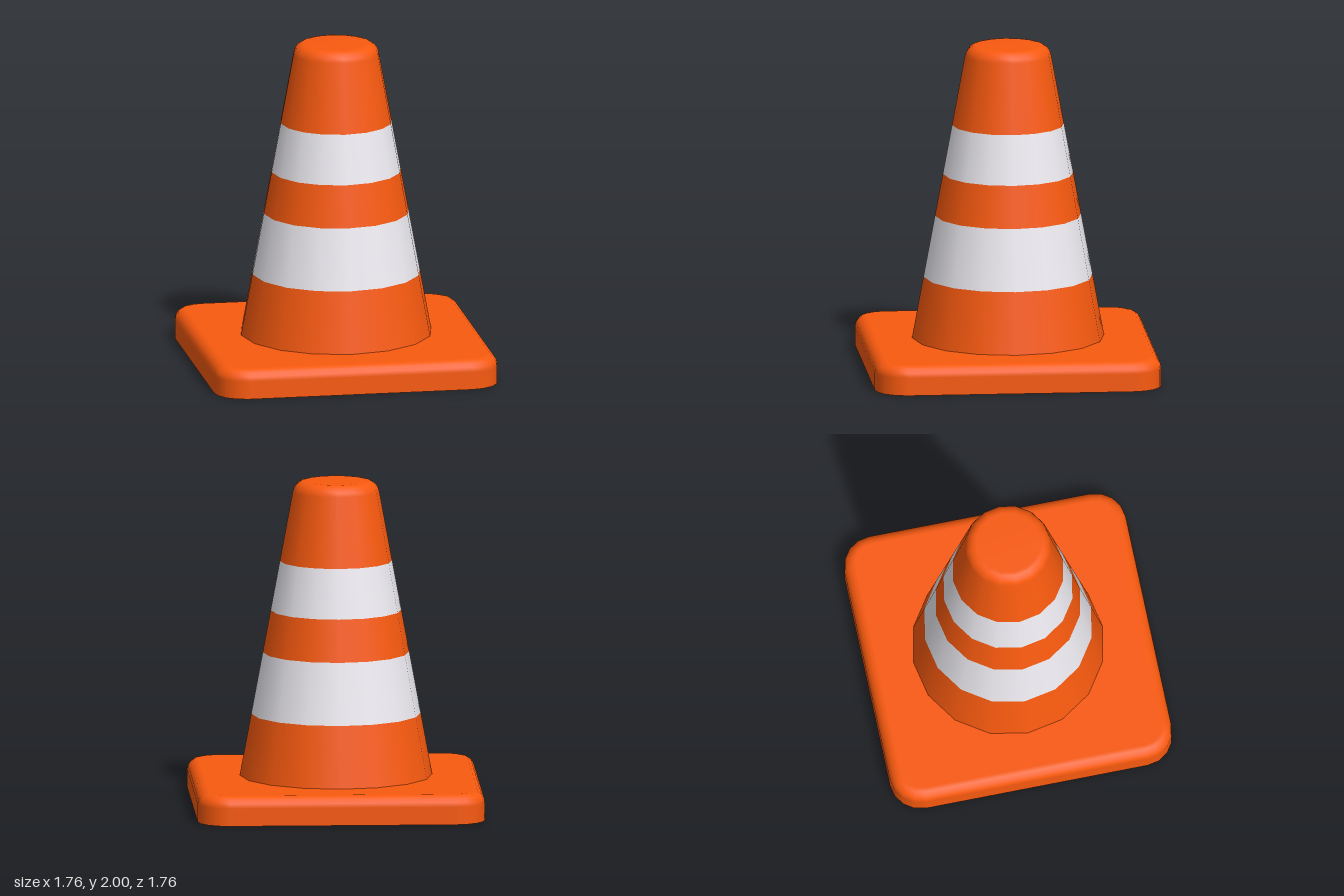
import * as THREE from 'three';

const orange = new THREE.MeshStandardMaterial({ color: 0xf95a0f });
const white = new THREE.MeshStandardMaterial({ color: 0xeeecf2 });

const BASE_TOP = 0.18, SHOULDER = 1.93;
const coneRadius = (y) => THREE.MathUtils.mapLinear(y, BASE_TOP, SHOULDER, 0.59, 0.265);

// 16-sided turned section of the cone
function turned(name, points, material) {
  const geometry = new THREE.LatheGeometry(points.map(([r, y]) => new THREE.Vector2(r, y)), 16);
  const mesh = new THREE.Mesh(geometry, material);
  mesh.name = name;
  return mesh;
}

// Square slab: rounded corners, rounded top edge, sharp flat underside
function slabGeometry(half, corner, fillet, height) {
  const steps = 4;
  // Rows from the middle of the underside to the middle of the top: [corner radius, y, outward, up]
  const rows = [[null, 0, 0, -1], [corner, 0, 0, -1], [corner, 0, 1, 0]];
  for (let i = 0; i <= steps; i++) {
    const a = (i / steps) * Math.PI / 2;
    rows.push([corner - fillet * (1 - Math.cos(a)), height - fillet * (1 - Math.sin(a)), Math.cos(a), Math.sin(a)]);
  }
  rows.push([null, height, 0, 1]);

  const position = [], normal = [], index = [];
  const ring = 4 * (steps + 1), inner = half - corner;
  for (const [r, y, out, up] of rows) {
    for (let q = 0; q < 4; q++) {
      const mid = (q + 0.5) * Math.PI / 2;
      const cx = Math.sign(Math.cos(mid)) * inner, cz = Math.sign(Math.sin(mid)) * inner;
      for (let i = 0; i <= steps; i++) {
        const a = (q + i / steps) * Math.PI / 2;
        const c = Math.cos(a), s = Math.sin(a);
        if (r === null) position.push(0, y, 0);
        else position.push(cx + r * c, y, cz + r * s);
        normal.push(c * out, up, s * out);
      }
    }
  }
  for (let j = 0; j < rows.length - 1; j++) {
    if (j === 1) continue; // sharp bottom edge
    for (let i = 0; i < ring; i++) {
      const n = (i + 1) % ring;
      const a = j * ring + i, b = a + ring, d = j * ring + n, c = d + ring;
      if (j < rows.length - 2) index.push(a, b, c);
      else index.push(a, b, d);
      if (j > 0 && j < rows.length - 2) index.push(a, c, d);
    }
  }
  const geometry = new THREE.BufferGeometry();
  geometry.setAttribute('position', new THREE.Float32BufferAttribute(position, 3));
  geometry.setAttribute('normal', new THREE.Float32BufferAttribute(normal, 3));
  geometry.setIndex(index);
  return geometry;
}

export function createModel() {
  const model = new THREE.Group();
  model.name = 'trafficCone';

  // Base
  const base = new THREE.Mesh(slabGeometry(0.88, 0.19, 0.07, BASE_TOP), orange);
  base.name = 'base';
  model.add(base);

  // Striped body
  const bands = [
    ['lowerBody', BASE_TOP, 0.56, orange],
    ['lowerStripe', 0.56, 0.94, white],
    ['middleBody', 0.94, 1.2, orange],
    ['upperStripe', 1.2, 1.505, white],
  ];
  for (const [name, y0, y1, material] of bands) {
    model.add(turned(name, [[coneRadius(y0), y0], [coneRadius(y1), y1]], material));
  }

  // Tip with a rounded shoulder and closed flat top
  const tip = [[coneRadius(1.505), 1.505]];
  for (let i = 0; i <= 4; i++) {
    const a = THREE.MathUtils.lerp(0.18, Math.PI / 2, i / 4);
    tip.push([0.195 + 0.071 * Math.cos(a), 1.92 + 0.08 * Math.sin(a)]);
  }
  tip.push([0, 2]);
  model.add(turned('tip', tip, orange));

  return model;
}
